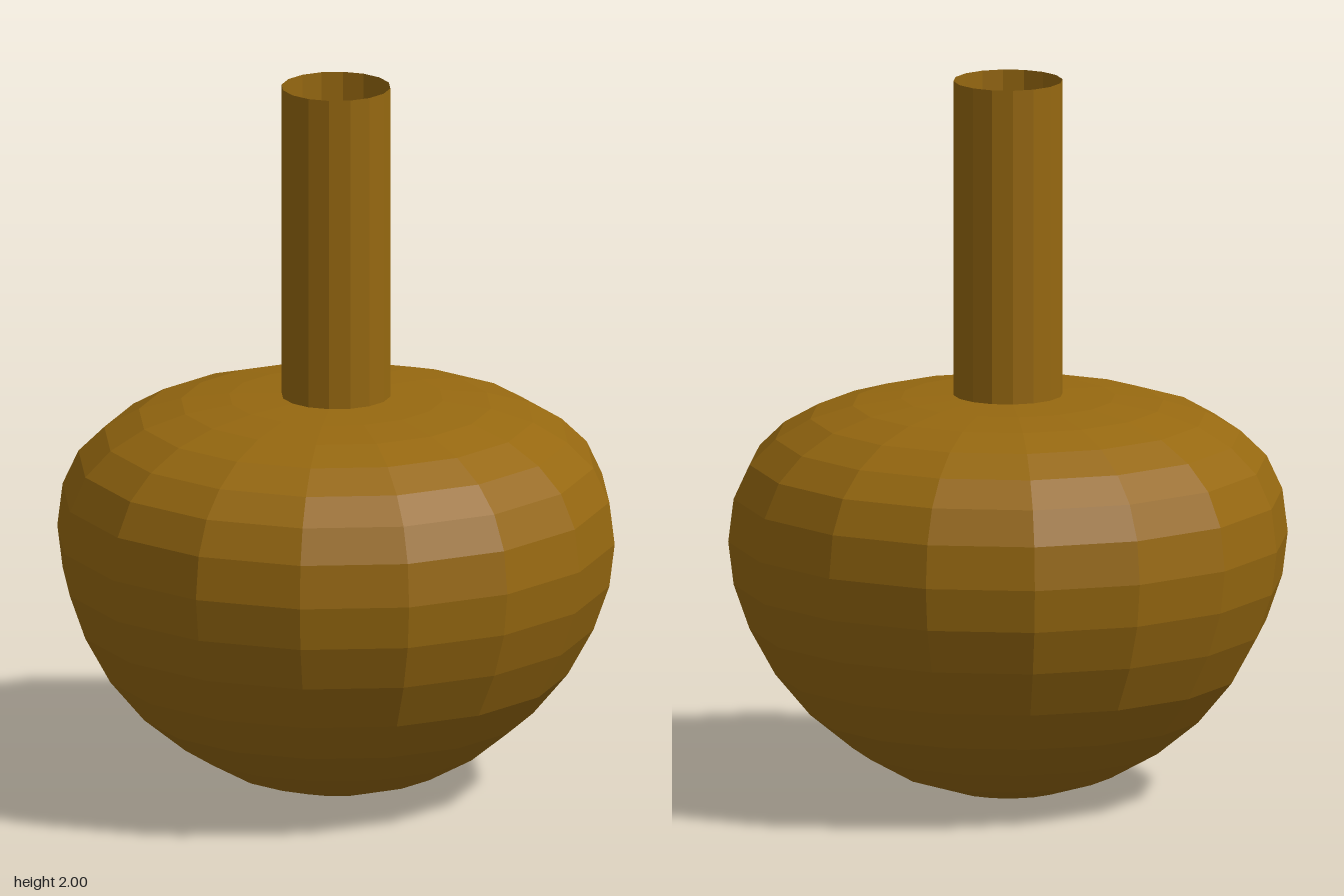
import * as THREE from 'three';

const SIDES = 16;
const RADIUS = 0.773;

export function createModel() {
  const model = new THREE.Group();
  model.name = 'longNeckedVessel';
  const material = new THREE.MeshStandardMaterial({
    color: 0x966810, flatShading: true, side: THREE.DoubleSide,
  });

  // Revolve a low-poly profile given from bottom to top
  const addLathe = (name, points) => {
    const mesh = new THREE.Mesh(new THREE.LatheGeometry(points, SIDES), material);
    mesh.name = name;
    model.add(mesh);
  };

  // Bulb: evenly stepped sphere rings, with a flattened top; open under the neck
  const heights = [0, 0.015, 0.06, 0.135, 0.23, 0.345, 0.475, 0.6,
    0.72, 0.84, 0.935, 1.005, 1.06, 1.095, 1.113, 1.12];
  const bulb = heights.map((y, i) =>
    new THREE.Vector2(RADIUS * Math.sin((i * Math.PI) / SIDES), y));
  addLathe('bulb', bulb);

  // Neck: open tube rising from the last ring of the bulb
  const rim = bulb[bulb.length - 1];
  addLathe('neck', [rim.clone(), new THREE.Vector2(rim.x, 2)]);

  return model;
}
